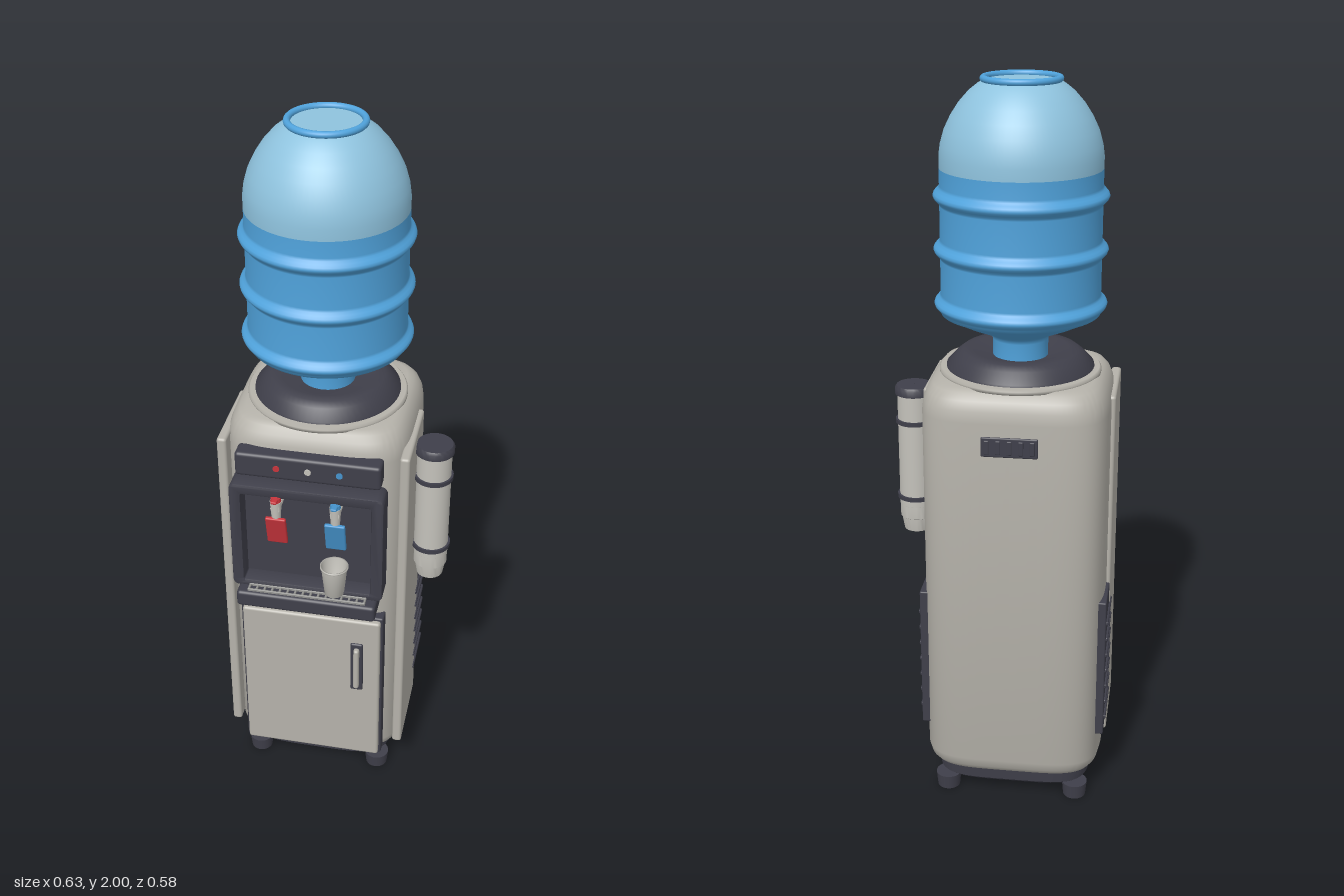
import * as THREE from 'three';
import { toCreasedNormals } from 'three/addons/utils/BufferGeometryUtils.js';
import { RoundedBoxGeometry } from 'three/addons/geometries/RoundedBoxGeometry.js';

const CX = -0.053, CZ = -0.05; // axis of the cabinet and bottle

function material(name, color, side = THREE.FrontSide) {
  const m = new THREE.MeshStandardMaterial({ color, side });
  m.name = name;
  return m;
}

// Closed loft of superellipse sections given as [y, halfX, halfZ]
function loft(sections, n = 96, power = 4.5) {
  const pos = [], index = [];
  const bend = v => Math.sign(v) * Math.pow(Math.abs(v), 2 / power);
  sections.forEach(([y, hx, hz], i) => {
    for (let j = 0; j < n; j++) {
      const t = (j / n) * Math.PI * 2;
      pos.push(hx * bend(Math.cos(t)), y, hz * bend(Math.sin(t)));
      if (i < sections.length - 1) {
        const a = i * n + j, b = i * n + (j + 1) % n;
        index.push(a, a + n, b, b, a + n, b + n);
      }
    }
  });
  const g = new THREE.BufferGeometry();
  g.setAttribute('position', new THREE.Float32BufferAttribute(pos, 3));
  g.setIndex(index);
  return toCreasedNormals(g, 0.7);
}

const lathe = (points, seg = 64) =>
  new THREE.LatheGeometry(points.map(([r, y]) => new THREE.Vector2(r, y)), seg);

function roundedRect(shape, x0, y0, x1, y1, r) {
  shape.moveTo(x0 + r, y0).lineTo(x1 - r, y0).quadraticCurveTo(x1, y0, x1, y0 + r);
  shape.lineTo(x1, y1 - r).quadraticCurveTo(x1, y1, x1 - r, y1);
  shape.lineTo(x0 + r, y1).quadraticCurveTo(x0, y1, x0, y1 - r);
  shape.lineTo(x0, y0 + r).quadraticCurveTo(x0, y0, x0 + r, y0);
  return shape;
}

export function createModel() {
  const model = new THREE.Group();
  model.name = 'waterDispenser';

  const shell = material('warm grey shell', 0xb5b2aa);
  const dark = material('charcoal plastic', 0x3f3f4a);
  const water = material('water blue', 0x50a3dc, THREE.DoubleSide);
  const clear = material('pale blue bottle', 0x8fc3de, THREE.DoubleSide);
  const red = material('hot red', 0xc8353c);
  const blue = material('cold blue', 0x4593cc);
  const pale = material('pale cup', 0xc4c2bb, THREE.DoubleSide);
  const metal = material('grille grey', 0x92928f);

  const add = (name, geo, mat, x = 0, y = 0, z = 0, parent = model) => {
    const m = new THREE.Mesh(geo, mat);
    m.name = name;
    m.position.set(x, y, z);
    parent.add(m);
    return m;
  };
  // Rounded box given by its extents
  const box = (name, mat, x0, x1, y0, y1, z0, z1, r = 0.004) => add(name,
    new RoundedBoxGeometry(x1 - x0, y1 - y0, z1 - z0, 3, r), mat,
    (x0 + x1) / 2, (y0 + y1) / 2, (z0 + z1) / 2);

  // Cabinet: inset of each section from the full outline
  const cabinet = [[0.075, 0.249], [0.075, 0.03], [0.085, 0.016], [0.10, 0.006], [0.125, 0],
    [1.15, 0], [1.18, 0.004], [1.205, 0.014], [1.222, 0.028], [1.23, 0.045], [1.23, 0.22]];
  add('cabinet', loft(cabinet.map(([y, d]) =>
    [y, 0.251 - d, Math.max(0.235 - d, 0.001)])), shell, CX, 0, CZ);

  // Plinth and feet
  add('plinth', loft([[0.035, 0.001, 0.001], [0.035, 0.21, 0.195], [0.045, 0.22, 0.205],
    [0.077, 0.222, 0.207], [0.077, 0.001, 0.001]]), dark, CX, 0, CZ);
  for (const sx of [-1, 1]) for (const sz of [-1, 1]) {
    add('foot', new THREE.CylinderGeometry(0.036, 0.032, 0.042, 24), dark,
      CX + sx * 0.183, 0.021, CZ + sz * 0.178);
  }

  // Side panels and louvred side vents
  for (const s of [-1, 1]) {
    const side = (name, mat, inner, outer, y0, y1, z0, z1, r) => {
      const a = CX + s * inner, b = CX + s * outer;
      box(name, mat, Math.min(a, b), Math.max(a, b), y0, y1, z0, z1, r);
    };
    side('sidePanel', shell, 0.235, 0.262, 0.13, 1.17, -0.09, 0.166, 0.008);
    side('sideVent', dark, 0.225, 0.26, 0.195, 0.615, -0.217, -0.087, 0.004);
    for (let i = 0; i < 7; i++) {
      const y = 0.245 + i * 0.05;
      side('ventSlat', dark, 0.25, 0.266, y - 0.006, y + 0.006, -0.205, -0.045, 0.004);
    }
  }

  // Back inlet vent
  box('backVent', dark, CX - 0.075, CX + 0.075, 1.06, 1.115, -0.289, -0.27);
  for (let i = 0; i < 5; i++) {
    const x = CX - 0.06 + i * 0.03;
    box('backVentSlat', dark, x - 0.007, x + 0.007, 1.068, 1.107, -0.292, -0.28, 0.003);
  }

  // Bottle seat
  add('seatRing', lathe([[0.001, 1.225], [0.218, 1.225], [0.218, 1.234], [0.213, 1.24], [0.001, 1.24]]),
    shell, CX, 0, CZ);
  add('bottleSeat', toCreasedNormals(lathe([[0.2, 1.235], [0.198, 1.245], [0.172, 1.272], [0.155, 1.285],
    [0.13, 1.287], [0.08, 1.27], [0.001, 1.27]]), 0.7), dark, CX, 0, CZ);

  // Bottle: neck, shoulder and three ribs
  const wall = [[0.074, 1.265], [0.074, 1.315], [0.08, 1.328], [0.1, 1.338], [0.16, 1.364], [0.2, 1.384]];
  for (const y of [1.415, 1.56, 1.70]) {
    for (let k = -4; k <= 4; k++) {
      wall.push([0.212 + 0.017 * (0.5 + 0.5 * Math.cos(k * Math.PI / 4)), y + k * 0.0065]);
    }
  }
  wall.push([0.212, 1.77]);
  add('bottleWater', lathe(wall, 80), water, CX, 0, CZ);
  add('bottleDome', lathe([[0.212, 1.77], [0.212, 1.80], [0.208, 1.83], [0.198, 1.865], [0.181, 1.9],
    [0.16, 1.932], [0.135, 1.96], [0.112, 1.978], [0.1, 1.985]], 80), clear, CX, 0, CZ);
  add('bottleBase', lathe([[0.1, 1.988], [0.001, 1.988]]), clear, CX, 0, CZ);
  add('bottleBaseRing', new THREE.TorusGeometry(0.097, 0.009, 12, 64), water, CX, 1.991, CZ)
    .rotation.x = Math.PI / 2;

  // Control strip with indicator lights
  box('controlStrip', dark, -0.252, 0.142, 1.098, 1.17, 0.165, 0.22, 0.01);
  [[-0.138, red], [CX, pale], [0.032, blue]].forEach(([x, mat]) => {
    add('indicatorLight', new THREE.CylinderGeometry(0.009, 0.009, 0.006, 16), mat, x, 1.134, 0.22)
      .rotation.x = Math.PI / 2;
  });

  // Dispensing niche
  const frame = roundedRect(new THREE.Shape(), -0.259, 0.751, 0.151, 1.083, 0.015);
  frame.holes.push(roundedRect(new THREE.Path(), -0.237, 0.762, 0.127, 1.063, 0.01));
  const frameGeo = new THREE.ExtrudeGeometry(frame, {
    depth: 0.06, bevelEnabled: true, bevelSize: 0.005, bevelThickness: 0.005, bevelSegments: 2, curveSegments: 6 });
  add('nicheFrame', toCreasedNormals(frameGeo, 0.6), dark, 0, 0, 0.185);
  box('nicheBack', dark, -0.25, 0.14, 0.755, 1.075, 0.165, 0.2);

  // Drip tray with grille
  box('dripTray', dark, -0.247, 0.142, 0.70, 0.75, 0.165, 0.286, 0.01);
  for (const [z0, z1] of [[0.27, 0.276], [0.248, 0.253], [0.226, 0.231]]) {
    box('grilleRail', metal, -0.217, 0.113, 0.745, 0.757, z0, z1, 0.002);
  }
  for (let i = 0; i < 16; i++) {
    const x = -0.214 + i * 0.0216;
    box('grilleBar', metal, x - 0.003, x + 0.003, 0.745, 0.756, 0.205, 0.275, 0.002);
  }

  // Hot and cold taps
  for (const [x, mat] of [[-0.134, red], [0.027, blue]]) {
    add('tapBody', new THREE.CylinderGeometry(0.013, 0.013, 0.062, 20), pale, x, 1.032, 0.23)
      .rotation.x = Math.PI / 2;
    add('tapSpout', new THREE.CylinderGeometry(0.016, 0.012, 0.06, 20), pale, x, 1.022, 0.25);
    add('tapCap', new THREE.CylinderGeometry(0.013, 0.015, 0.012, 20), mat, x, 1.057, 0.25);
    box('tapLever', mat, x - 0.008, x + 0.008, 1.056, 1.064, 0.245, 0.276, 0.003);
    add('tapPaddle', new RoundedBoxGeometry(0.056, 0.095, 0.012, 2, 0.004), mat, x, 0.955, 0.25)
      .rotation.x = 0.22;
  }

  // Drinking cup on the tray
  add('drinkingCup', lathe([[0.001, 0.758], [0.027, 0.758], [0.036, 0.845], [0.039, 0.846],
    [0.039, 0.851], [0.035, 0.851], [0.025, 0.764], [0.001, 0.764]], 32), pale, 0.022, 0, 0.244);

  // Lower door with its gasket and handle
  box('doorGasket', dark, -0.26, 0.153, 0.102, 0.638, 0.155, 0.197, 0.006);
  box('door', shell, -0.253, 0.146, 0.11, 0.63, 0.165, 0.213, 0.008);
  box('handlePlate', dark, 0.062, 0.099, 0.373, 0.55, 0.205, 0.219, 0.006);
  box('handleGrip', shell, 0.073, 0.089, 0.39, 0.536, 0.21, 0.234, 0.007);

  // Cup holder tube on the side
  const hx = 0.257, hz = 0.027;
  add('cupTube', lathe([[0.044, 0.775], [0.048, 0.78], [0.048, 1.12]], 40), pale, hx, 0, hz);
  add('stackedCup', toCreasedNormals(lathe([[0.001, 0.70], [0.037, 0.70], [0.044, 0.74], [0.047, 0.742],
    [0.047, 0.78]], 40), 0.6), pale, hx, 0, hz);
  add('tubeLid', toCreasedNormals(lathe([[0.054, 1.115], [0.054, 1.133], [0.049, 1.14], [0.001, 1.14]], 40), 0.7),
    dark, hx, 0, hz);
  for (const y of [0.805, 1.035]) {
    add('tubeClip', new THREE.CylinderGeometry(0.054, 0.054, 0.012, 40), dark, hx, y, hz);
    box('tubeBracket', dark, 0.195, 0.225, y - 0.008, y + 0.008, hz - 0.015, hz + 0.015);
  }
  return model;
}
